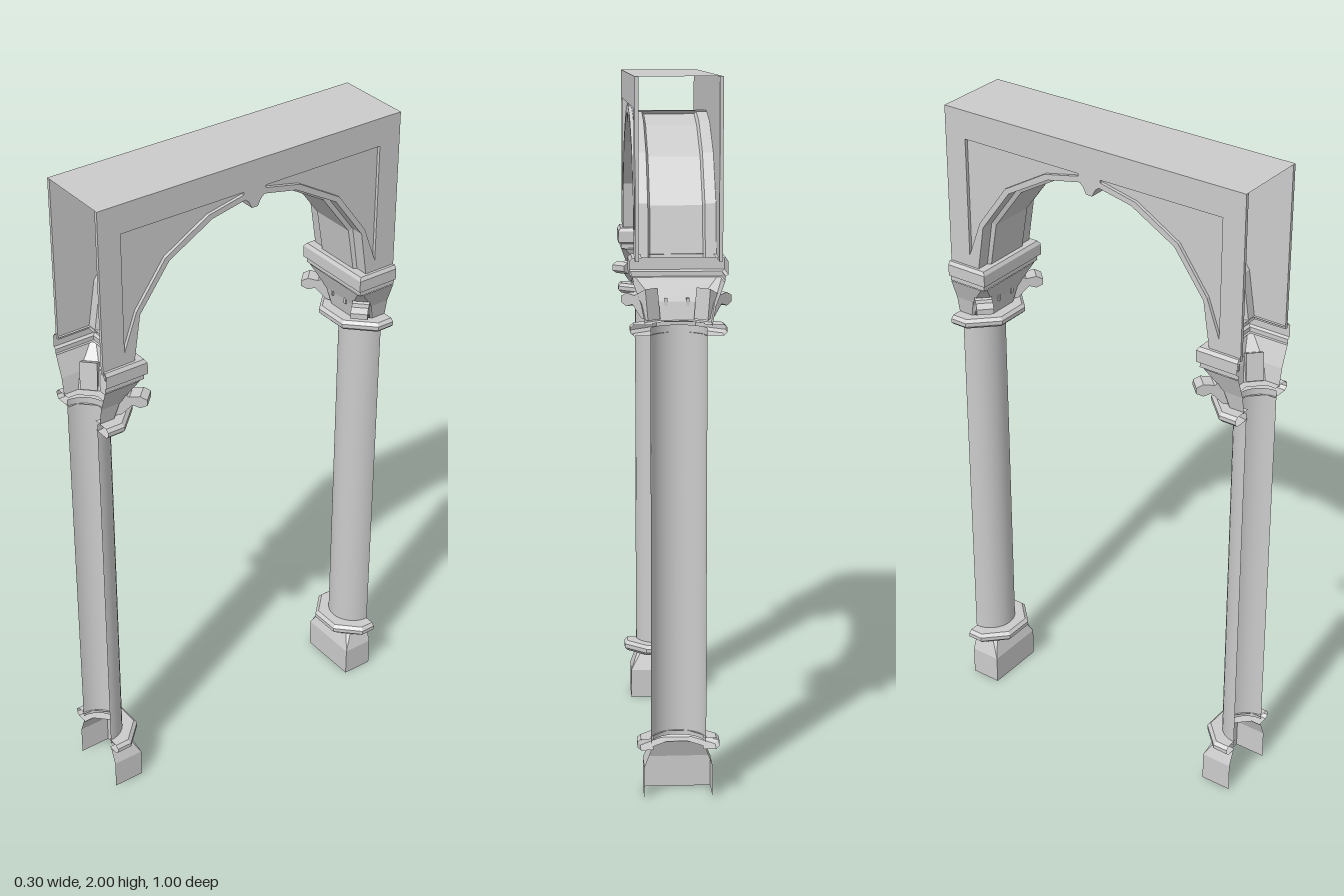
import * as THREE from 'three';

const flat = new THREE.MeshStandardMaterial({ color: 0xcccccc, flatShading: true, side: THREE.DoubleSide });
const smooth = new THREE.MeshStandardMaterial({ color: 0xcccccc, side: THREE.DoubleSide });

function add(parent, name, geometry, material = flat) {
  const mesh = new THREE.Mesh(geometry, material);
  mesh.name = name;
  parent.add(mesh);
  return mesh;
}

// Quads between successive open cross-sections (each a list of [x, y, z])
function loft(sections) {
  const n = sections[0].length, index = [];
  for (let i = 0; i < sections.length - 1; i++) {
    for (let j = 0; j < n - 1; j++) {
      const a = i * n + j, b = a + n;
      index.push(a, b, a + 1, a + 1, b, b + 1);
    }
  }
  const g = new THREE.BufferGeometry();
  g.setAttribute('position', new THREE.Float32BufferAttribute(sections.flat(2), 3));
  g.setIndex(index);
  g.computeVertexNormals();
  return g;
}

// Half of a chamfered square, open at z = 0.5; rows are [y, half width, chamfer]
const halfBlock = rows => loft(rows.map(([y, w, c]) => [
  [w, 0], [w, w - c], [w - c, w], [c - w, w], [-w, w - c], [-w, 0],
].map(([x, d]) => [x, y, 0.5 - d])));

// Bulging octagonal collar around a half column
function collar(y, height, inner, outer) {
  const k = 0.586, e = height * 0.3, rows = [];
  for (const [dy, w] of [[0, inner], [0, outer - e], [e, outer], [height - e, outer], [height, outer - e], [height, inner]])
    rows.push([y + dy, w, w * k]);
  return halfBlock(rows);
}

const shapeOf = pts => new THREE.Shape(pts.map(p => new THREE.Vector2(...p)));
const mirrored = pts => pts.map(([z, y]) => [-z, y]).reverse();

// Half arch lines as [z, y], from springing to crown
const rib = [[0.39, 1.51], [0.366, 1.65], [0.272, 1.777], [0.134, 1.857], [0.02, 1.885]];
const arch = [[0.4, 1.51], [0.377, 1.656], [0.28, 1.788], [0.14, 1.868], [0.02, 1.893]];
const panel = [[0.43, 1.915], [0.43, 1.555], [0.388, 1.668], [0.292, 1.8], [0.152, 1.882], [0.037, 1.907], [0.037, 1.915]];
const W = 0.118, RIB = 0.072, RECESS = 0.108;

function createSupport() {
  const g = new THREE.Group();
  g.name = 'support';
  add(g, 'base', halfBlock([[0, 0.096, 0], [0.09, 0.096, 0], [0.142, 0.076, 0.01]]));
  add(g, 'lowerCollar', collar(0.142, 0.032, 0.07, 0.115));
  const shaft = add(g, 'shaft', new THREE.CylinderGeometry(0.077, 0.077, 1.17, 16, 1, true, Math.PI / 2, Math.PI), smooth);
  shaft.position.set(0, 0.745, 0.5);
  add(g, 'upperCollar', collar(1.31, 0.03, 0.07, 0.131));
  add(g, 'capital', halfBlock([[1.335, 0.09, 0.045], [1.39, 0.1, 0.04], [1.455, 0.124, 0.012]]));
  add(g, 'abacus', halfBlock([[1.455, 0.12, 0], [1.457, 0.125, 0], [1.47, 0.125, 0], [1.475, 0.133, 0],
    [1.51, 0.133, 0], [1.52, 0.126, 0], [1.52, 0.1, 0]]));

  // Curled leaves on the two inner corners
  const leaf = new THREE.ExtrudeGeometry(shapeOf([[0.09, 1.345], [0.115, 1.35], [0.148, 1.385], [0.17, 1.378],
    [0.19, 1.388], [0.19, 1.405], [0.17, 1.415], [0.14, 1.41], [0.1, 1.43]]), { depth: 0.05, bevelEnabled: false });
  leaf.translate(0, 0, -0.025);
  for (const s of [1, -1]) {
    const m = add(g, 'cornerLeaf', leaf);
    m.position.z = 0.5;
    m.rotation.y = s > 0 ? Math.PI / 4 : Math.PI * 3 / 4;
    // Small buds on the inner face
    const bud = add(g, 'bud', new THREE.BoxGeometry(0.008, 0.02, 0.008));
    bud.position.set(s * 0.03, 1.39, 0.4);
  }
  return g;
}

export function createModel() {
  const model = new THREE.Group();
  model.name = 'archway';

  for (const turn of [0, Math.PI]) {
    const support = createSupport();
    support.rotation.y = turn;
    model.add(support);
  }

  // Side walls with sunken spandrel panels
  const wallShape = shapeOf([[-0.5, 2], [-0.5, 1.51], ...mirrored(arch).reverse(), ...[...arch].reverse(), [0.5, 1.51], [0.5, 2]]);
  const panels = [panel, mirrored(panel)];
  wallShape.holes = panels.map(p => new THREE.Path(p.map(q => new THREE.Vector2(...q))));
  const wallGeometry = new THREE.ExtrudeGeometry(wallShape, { depth: W - RECESS, bevelEnabled: false });
  for (const s of [1, -1]) {
    const side = new THREE.Group();
    side.name = s > 0 ? 'leftWall' : 'rightWall';
    side.rotation.y = s * Math.PI / 2;
    add(side, 'wall', wallGeometry).position.z = RECESS;
    for (const p of panels) add(side, 'spandrelPanel', new THREE.ShapeGeometry(shapeOf(p))).position.z = RECESS;
    model.add(side);
  }

  // Arch underside with a raised middle band
  const full = line => [...line, ...mirrored(line)];
  const outer = full(arch), inner = full(rib);
  add(model, 'archUnderside', loft(outer.map(([z, y], i) => {
    const [rz, ry] = inner[i];
    return [[-W, y, z], [-RIB - 0.006, y, z], [-RIB, ry, rz], [RIB, ry, rz], [RIB + 0.006, y, z], [W, y, z]];
  })));

  // Keystone drop at the crown
  const drop = new THREE.ExtrudeGeometry(shapeOf([[-0.035, 1.893], [-0.02, 1.88], [-0.01, 1.86], [0.01, 1.86], [0.02, 1.88], [0.035, 1.893]]),
    { depth: 2 * W, bevelEnabled: false });
  drop.translate(0, 0, -W);
  add(model, 'keystone', drop).rotation.y = Math.PI / 2;

  // Flat top slab
  const top = add(model, 'top', new THREE.PlaneGeometry(2 * W, 1));
  top.rotation.x = -Math.PI / 2;
  top.position.y = 2;
  return model;
}
